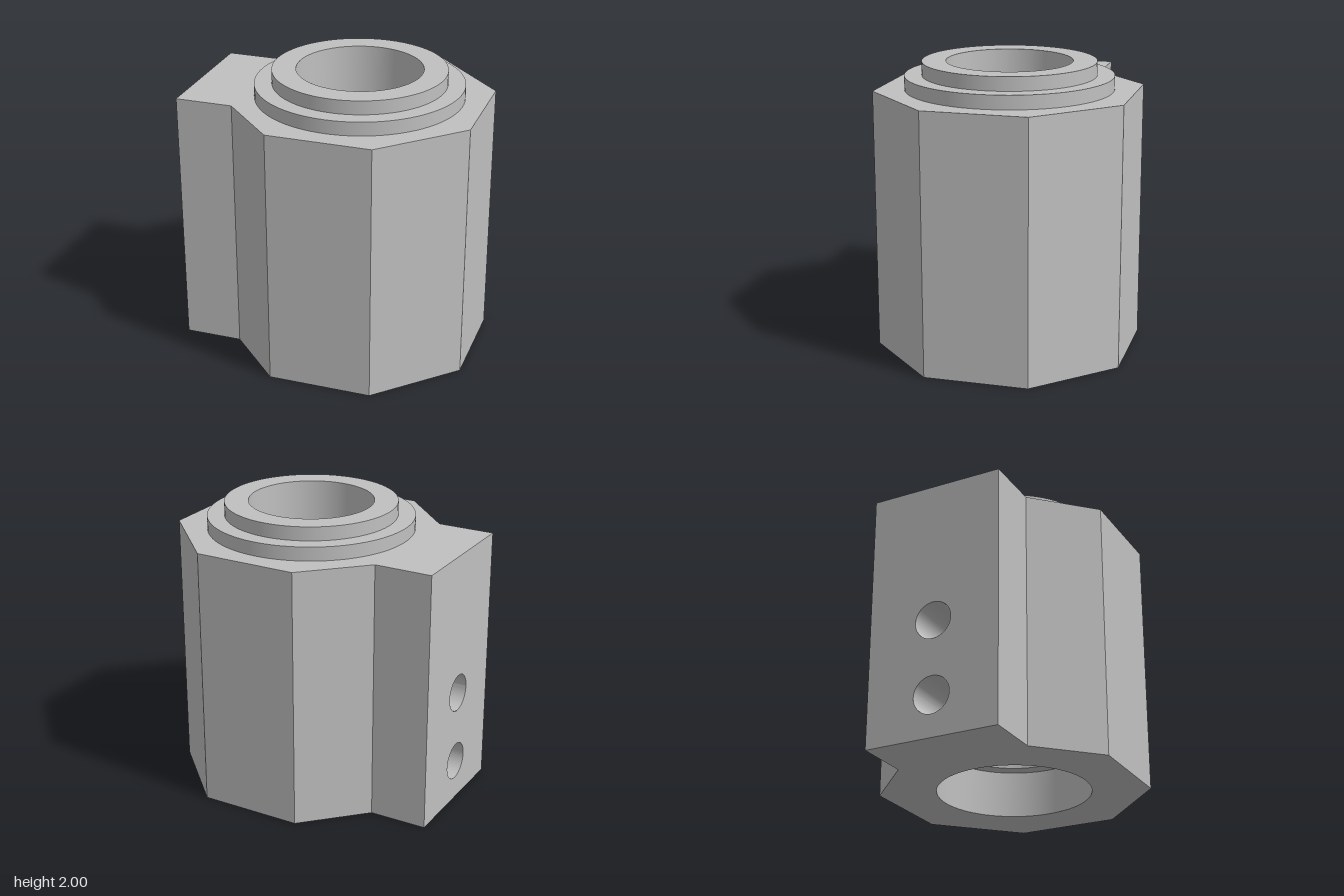
import * as THREE from 'three';
import { mergeGeometries } from 'three/addons/utils/BufferGeometryUtils.js';

const CX = 0.143;                       // bore axis
const TOP = 1.81, STEP = 1.905, FULL = 2;
const BORE = 0.43, COUNTER = 0.53, LEDGE = 0.33;
const HOLE = 0.13, HOLE_Y = [0.29, 0.81];
const SEG = 96;

// Grid surface whose vertices follow fn(u, v), with u and v in 0..1
function sheet(fn, nu, nv = 1) {
  const g = new THREE.PlaneGeometry(1, 1, nu, nv);
  const p = g.attributes.position;
  for (let i = 0; i < p.count; i++) p.setXYZ(i, ...fn(p.getX(i) + 0.5, p.getY(i) + 0.5));
  g.computeVertexNormals();
  return g;
}

function circle(x, y, r) {
  const path = new THREE.Path();
  path.absarc(x, y, r, 0, Math.PI * 2, true);
  return path;
}

function flat(shape, holes) {
  shape.holes.push(...holes);
  return new THREE.ShapeGeometry(shape, SEG / 2);
}

// Inward-facing cylinder wall; bands give [low, high] at each column crossing the side holes
function boreWall(r, y0, y1, bands) {
  const a = Math.asin(HOLE / r);
  const strip = (t0, t1, n, range) => sheet((u, v) => {
    const t = t0 + (t1 - t0) * u;
    const z = r * Math.sin(t);
    const [lo, hi] = range(Math.sqrt(Math.max(0, HOLE * HOLE - z * z)));
    return [CX - r * Math.cos(t), lo + (hi - lo) * v, z];
  }, n);
  return mergeGeometries([
    strip(Math.PI * 2 - a, a, SEG, () => [y0, y1]),
    ...bands.map((b) => strip(a, -a, 32, b)),
  ]);
}

// Inside of a side hole between two angles, ending on the bore of radius r
function holeWall(cy, r, a0, a1) {
  return sheet((u, v) => {
    const a = a0 + (a1 - a0) * u;
    const z = HOLE * Math.cos(a);
    const end = CX - Math.sqrt(r * r - z * z);
    return [-1 + (end + 1) * v, cy + HOLE * Math.sin(a), z];
  }, 32);
}

export function createModel() {
  const model = new THREE.Group();
  const grey = new THREE.MeshStandardMaterial({ color: 0xc0c0c0, side: THREE.DoubleSide });
  grey.name = 'grey metal';
  const add = (name, geometry) => {
    const mesh = new THREE.Mesh(geometry, grey);
    mesh.name = name;
    model.add(mesh);
  };

  // Octagonal body with a rectangular mounting block on one side
  const outline = [
    [-1, -0.473], [-0.6, -0.473], [-0.215, -0.857], [0.5, -0.857], [1, -0.357],
    [1, 0.357], [0.5, 0.857], [-0.215, 0.857], [-0.6, 0.473], [-1, 0.473],
  ].map(([x, y]) => new THREE.Vector2(x, y));
  const sides = outline.slice(0, -1).map((p, i) => {
    const q = outline[i + 1];
    return sheet((u, v) => [p.x + (q.x - p.x) * u, TOP * v, -(p.y + (q.y - p.y) * u)], 1);
  });
  add('bodySides', mergeGeometries(sides));
  add('bodyTop', flat(new THREE.Shape(outline), [circle(CX, 0, 0.713)])
    .rotateX(-Math.PI / 2).translate(0, TOP, 0));
  add('bodyBottom', flat(new THREE.Shape(outline), [circle(CX, 0, COUNTER)]).rotateX(Math.PI / 2));

  // Mounting face with two side holes
  const face = new THREE.Shape([[-0.473, 0], [0.473, 0], [0.473, TOP], [-0.473, TOP]]
    .map(([x, y]) => new THREE.Vector2(x, y)));
  add('mountingFace', flat(face, HOLE_Y.map((y) => circle(0, y, HOLE)))
    .rotateY(-Math.PI / 2).translate(-1, 0, 0));

  // Two stepped collars on top
  for (const [name, r, inner, y0, y1] of [
    ['lowerCollar', 0.713, 0.594, TOP, STEP], ['upperCollar', 0.594, BORE, STEP, FULL]]) {
    add(name, mergeGeometries([
      new THREE.CylinderGeometry(r, r, y1 - y0, SEG, 1, true).translate(CX, (y0 + y1) / 2, 0),
      new THREE.RingGeometry(inner, r, SEG).rotateX(-Math.PI / 2).translate(CX, y1, 0),
    ]));
  }

  // Bore and wider counterbore, both opened by the side holes
  const [low, high] = HOLE_Y;
  add('bore', boreWall(BORE, LEDGE, FULL, [
    (h) => [Math.max(LEDGE, low + h), high - h],
    (h) => [high + h, FULL],
  ]));
  add('counterbore', boreWall(COUNTER, 0, LEDGE, [
    (h) => [0, low - h],
    (h) => [Math.min(LEDGE, low + h), LEDGE],
  ]));

  // Ledge between the bores, notched where the lower hole crosses it
  const split = Math.asin((LEDGE - low) / HOLE);
  const notch = HOLE * Math.cos(split);
  const a = Math.PI - Math.asin(notch / COUNTER), b = Math.PI - Math.asin(notch / BORE);
  const ledge = new THREE.Shape();
  ledge.absarc(CX, 0, COUNTER, -a, a, false);
  ledge.absarc(CX, 0, BORE, b, -b, true);
  add('boreLedge', flat(ledge, []).rotateX(Math.PI / 2).translate(0, LEDGE, 0));

  // Side hole walls
  add('upperSideHole', holeWall(high, BORE, 0, Math.PI * 2));
  add('lowerSideHole', mergeGeometries([
    holeWall(low, BORE, split, Math.PI - split),
    holeWall(low, COUNTER, Math.PI - split, Math.PI * 2 + split),
  ]));

  return model;
}
